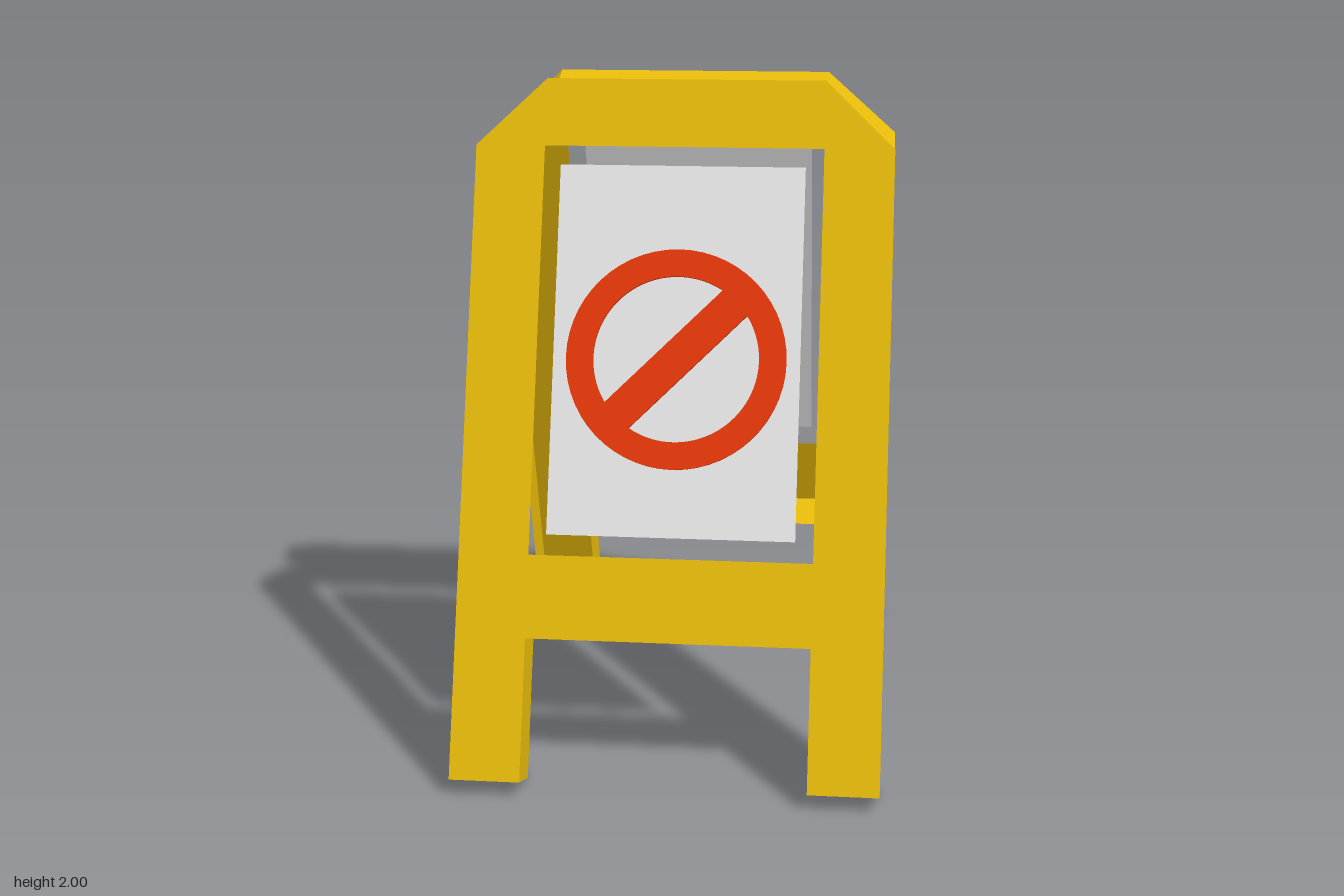
import * as THREE from 'three';

const HINGE_Y = 1.95, LEAN = THREE.MathUtils.degToRad(20), DEPTH = 0.145;

const color = (name, hex) => new THREE.MeshStandardMaterial({ name, color: hex, side: THREE.DoubleSide });
const yellow = color('yellow plastic', 0xeabd0a);
const white = color('white panel', 0xebebeb);
const red = color('red sign', 0xef3a0a);

function named(name, geometry, material) {
  const mesh = new THREE.Mesh(geometry, material);
  mesh.name = name;
  return mesh;
}

const points = (list) => list.map(([x, y]) => new THREE.Vector2(x, y));

// Hollow moulding: front face and side walls, open at the back.
// Walls of the last `bareEdges` hole edges are left out.
function shell(shape, depth, bareEdges = 0) {
  const solid = new THREE.ExtrudeGeometry(shape, { depth, bevelEnabled: false, curveSegments: 28 });
  const start = solid.groups[0].count / 2;
  const end = solid.attributes.position.count - bareEdges * 6;
  const open = new THREE.BufferGeometry();
  for (const key of ['position', 'normal']) {
    open.setAttribute(key, new THREE.BufferAttribute(solid.attributes[key].array.slice(start * 3, end * 3), 3));
  }
  return open;
}

// Frame with chamfered shoulders, two legs and a window; y = 0 is the hinge edge
function frameGeometry() {
  const outer = 0.622, inner = 0.415, shoulder = -0.204, rail = -1.661, foot = -2.075;
  const half = [[inner, 0], [outer, shoulder], [outer, foot], [inner, foot], [inner, rail]];
  const mirrored = half.map(([x, y]) => [-x, y]).reverse();
  const shape = new THREE.Shape(points([...half, ...mirrored]));
  const corners = [[-inner, shoulder], [-inner, -1.418], [inner, -1.418], [inner, shoulder]];
  shape.holes.push(new THREE.Path(points(corners)));
  return shell(shape, DEPTH, corners.length);
}

// Ring with a diagonal bar: a disc with two D-shaped holes
function signGeometry(depth) {
  const inner = 0.243, a = Math.asin(0.052 / inner);
  const shape = new THREE.Shape().absarc(0, 0, 0.323, 0, Math.PI * 2);
  for (const turn of [0, Math.PI]) {
    shape.holes.push(new THREE.Path().absarc(0, 0, inner, turn + a, turn + Math.PI - a).closePath());
  }
  return shell(shape, depth).rotateZ(Math.PI / 4);
}

export function createModel() {
  const model = new THREE.Group();
  model.name = 'foldingFloorSign';
  const signBack = 0.115, signFront = 0.172;
  const frame = frameGeometry(), sign = signGeometry(signFront - signBack);
  const panel = new THREE.PlaneGeometry(0.725, 1.094);

  // Two identical leaves lean against each other at the hinge line
  for (const [name, turn] of [['frontLeaf', 0], ['backLeaf', Math.PI]]) {
    const leaf = new THREE.Group();
    leaf.name = name;
    leaf.position.y = HINGE_Y;
    leaf.rotation.set(-LEAN, turn, 0, 'YXZ');

    const board = named('signPanel', panel, white);
    board.position.set(0, -0.811, 0.161);
    const symbol = named('prohibitionSymbol', sign, red);
    symbol.position.set(0, -0.837, signBack);

    leaf.add(named('frame', frame, yellow), board, symbol);
    model.add(leaf);
  }
  return model;
}
